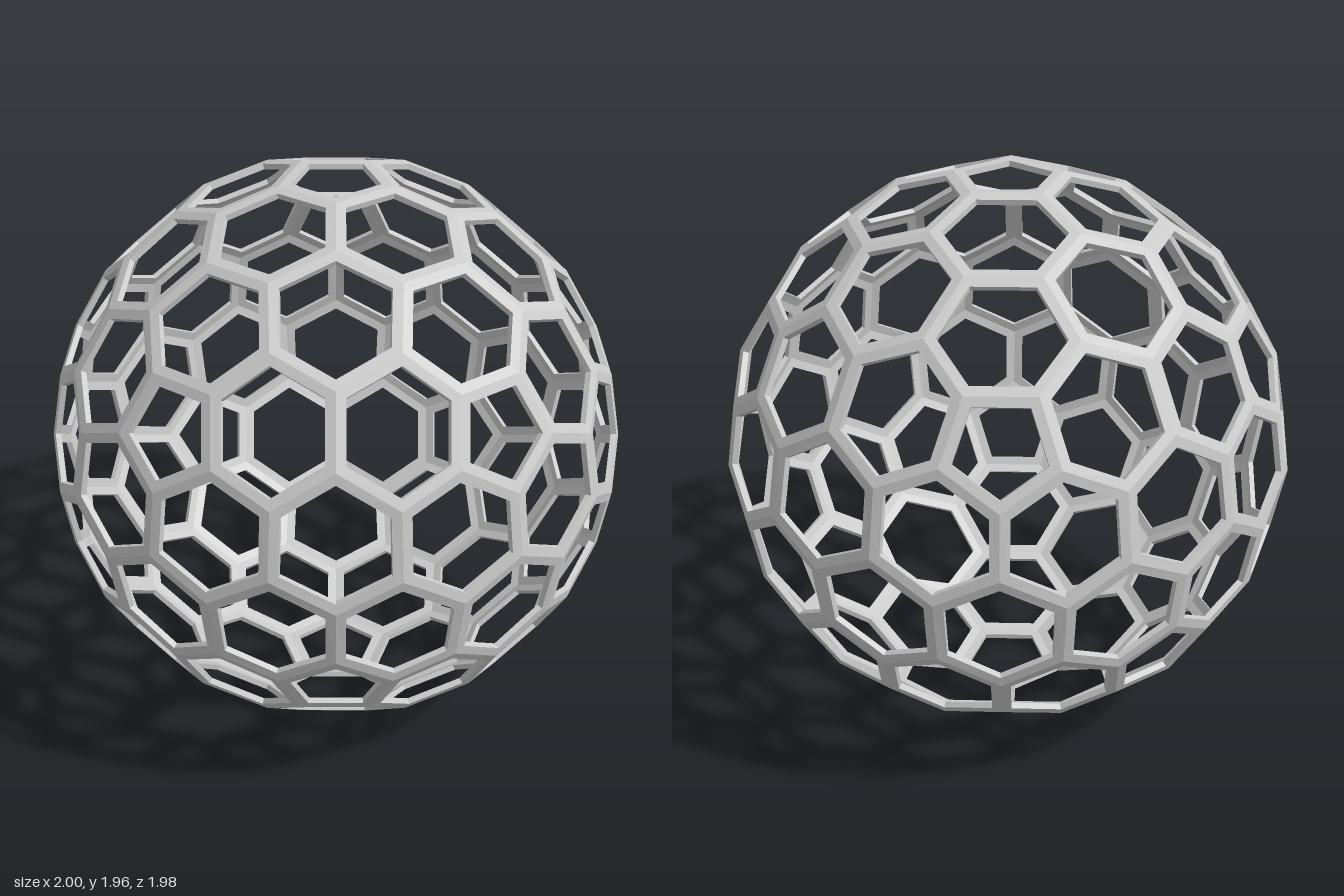
import * as THREE from 'three';

const RAD = Math.PI / 180;
const STRUT = 0.033;   // half width of a strut, measured inside one cell
const INNER = 0.98;    // inner skin relative to the outer one
const CORNER = 11.3;   // angle from a pentagon's centre to its corners

// Twelve pentagon centres: two poles and two staggered rings of five
function pentagonCentres() {
  const pts = [new THREE.Vector3(0, 1, 0), new THREE.Vector3(0, -1, 0)];
  const y = 1 / Math.sqrt(5), r = 2 / Math.sqrt(5);
  for (let i = 0; i < 5; i++) {
    for (const [start, side] of [[0, 1], [36, -1]]) {
      const a = (start + 72 * i) * RAD;
      pts.push(new THREE.Vector3(r * Math.cos(a), side * y, r * Math.sin(a)));
    }
  }
  return pts;
}

// Point on the unit sphere, so many degrees along the arc from a towards b
function along(a, b, degrees) {
  const side = b.clone().addScaledVector(a, -a.dot(b)).normalize();
  return a.clone().multiplyScalar(Math.cos(degrees * RAD)).addScaledVector(side, Math.sin(degrees * RAD));
}

// Cell centres and the joints where three cells meet
function layout() {
  const pent = pentagonCentres();
  const near = (a, b) => a !== b && a.distanceTo(b) < 1.1;
  const cells = pent.map((centre) => ({ centre, sides: 5 }));
  const joints = [];
  for (const a of pent) for (const b of pent) {
    if (!near(a, b)) continue;
    cells.push({ centre: along(a, b, 21.1), sides: 6 });
  }
  for (let i = 0; i < 12; i++) for (let j = i + 1; j < 12; j++) for (let k = j + 1; k < 12; k++) {
    const tri = [pent[i], pent[j], pent[k]];
    if (!near(tri[0], tri[1]) || !near(tri[1], tri[2]) || !near(tri[0], tri[2])) continue;
    cells.push({ centre: tri[0].clone().add(tri[1]).add(tri[2]).normalize(), sides: 6 });
    // three joints on each altitude of the large triangle
    tri.forEach((v, n) => {
      const mid = tri[(n + 1) % 3].clone().add(tri[(n + 2) % 3]).normalize();
      for (const t of [CORNER, 24, 51.26]) joints.push(along(v, mid, t));
    });
  }
  return { cells, joints };
}

// Corners of one cell, counter-clockwise seen from outside
function cellRing({ centre, sides }, joints) {
  const u = new THREE.Vector3(0.31, 0.52, 0.79).cross(centre).normalize();
  const v = centre.clone().cross(u);
  const angle = (p) => Math.atan2(p.dot(v), p.dot(u));
  return [...joints]
    .sort((p, q) => p.distanceTo(centre) - q.distanceTo(centre))
    .slice(0, sides)
    .sort((p, q) => angle(p) - angle(q));
}

// Move every corner inwards so that each side shifts by the strut width
function inset(ring) {
  const n = ring.length;
  return ring.map((p, i) => {
    const a = ring[(i + 1) % n].clone().sub(p).normalize();
    const b = ring[(i + n - 1) % n].clone().sub(p).normalize();
    const sin = a.clone().cross(b).length();
    return p.clone().addScaledVector(a.add(b), STRUT / sin);
  });
}

export function createModel() {
  const { cells, joints } = layout();
  const pos = [];
  const quad = (a, b, c, d) => {
    for (const p of [a, b, c, a, c, d]) pos.push(p.x, p.y, p.z);
  };
  const sunk = (p) => p.clone().multiplyScalar(INNER);

  // Each cell is a flat frame: outer skin, wall of the opening, inner skin
  for (const cell of cells) {
    const ring = cellRing(cell, joints);
    const hole = inset(ring);
    ring.forEach((p, i) => {
      const j = (i + 1) % ring.length;
      quad(p, ring[j], hole[j], hole[i]);
      quad(hole[i], hole[j], sunk(hole[j]), sunk(hole[i]));
      quad(sunk(hole[i]), sunk(hole[j]), sunk(ring[j]), sunk(p));
    });
  }

  const geometry = new THREE.BufferGeometry();
  geometry.setAttribute('position', new THREE.Float32BufferAttribute(pos, 3));
  geometry.computeVertexNormals();
  const lattice = new THREE.Mesh(geometry, new THREE.MeshStandardMaterial({ color: 0xcccccc, flatShading: true }));
  lattice.name = 'latticeShell';
  lattice.position.y = Math.cos(CORNER * RAD);

  const group = new THREE.Group();
  group.name = 'latticeSphere';
  group.add(lattice);
  return group;
}
